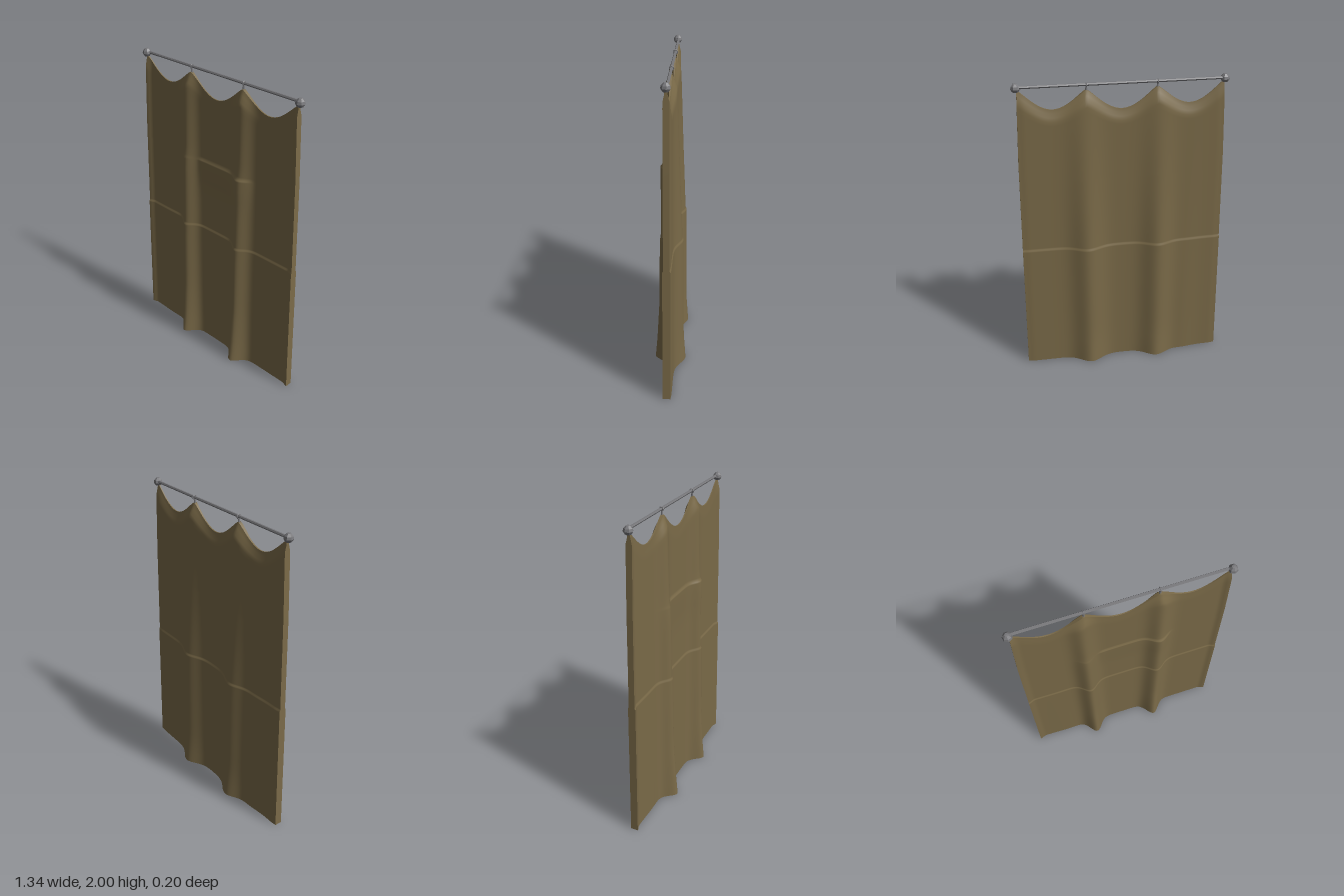
import * as THREE from 'three';
import { mergeGeometries } from 'three/addons/utils/BufferGeometryUtils.js';

const { lerp, clamp, smoothstep } = THREE.MathUtils;

// piecewise linear lookup through [position, value] pairs
function lookup(points, t) {
  for (let i = 1; i < points.length; i++) {
    const [a, va] = points[i - 1], [b, vb] = points[i];
    if (t <= b) return lerp(va, vb, clamp((t - a) / (b - a), 0, 1));
  }
  return points[points.length - 1][1];
}
const bell = (x, centre, width) => Math.exp(-(((x - centre) / width) ** 2));

const HALF_WIDTH = [[0, 0.67], [0.9, 0.65], [1.5, 0.635], [1.96, 0.615]];
const FRONT_SWELL = [[0, 0.093], [0.15, 0.08], [0.4, 0.066], [0.9, 0.058], [1.36, 0.052], [1.42, 0.043], [1.9, 0.032]];
const BACK_SWELL = [[0, 0.072], [0.2, 0.058], [0.9, 0.052], [1.4, 0.033], [1.9, 0.016]];
const FOLD = 0.9, LEDGE = 1.39, STRAIGHT = 1.5;

// scalloped upper edge hanging from four points
function topEdge(u) {
  const x = u * 0.615, ax = Math.abs(x);
  if (ax < 0.212) return 1.945 - 0.125 * Math.cos((ax / 0.212) * Math.PI / 2) ** 1.15;
  const t = (ax - 0.212) / 0.403;
  return 1.945 + 0.015 * t - 0.118 * Math.sin(Math.PI * t) ** 1.15;
}

// rows are exact heights up to STRAIGHT, then spread to the scalloped edge
const ROWS = [];
for (let y = 0; y < 0.88; y += 0.08) ROWS.push(y);
ROWS.push(FOLD - 0.012, FOLD - 0.003, FOLD + 0.003, FOLD + 0.012);
for (let y = 0.96; y < 1.36; y += 0.07) ROWS.push(y);
ROWS.push(LEDGE - 0.012, LEDGE - 0.002, LEDGE + 0.004, LEDGE + 0.02, 1.46, STRAIGHT);
for (let i = 1; i <= 14; i++) ROWS.push(STRAIGHT + i / 14);

const COLS = 110;

// point on the front (side = 1) or back (side = -1) sheet
function clothPoint(u, row, side) {
  const top = topEdge(u);
  const y = row <= STRAIGHT ? row : lerp(STRAIGHT, top, row - STRAIGHT);
  const x = u * lookup(HALF_WIDTH, y);
  const end = smoothstep(Math.abs(u), 0.93, 1);
  const below = 1 - smoothstep(y, FOLD - 0.003, FOLD + 0.003);
  let z;
  if (side > 0) {
    const swell = lookup(FRONT_SWELL, y);
    z = 0.004 + swell * (bell(x, -0.235, 0.06) + bell(x, 0.225, 0.062));
    const across = smoothstep(x, -0.17, -0.12) * (1 - smoothstep(x, 0.27, 0.32));
    const under = smoothstep(y, 1.15, LEDGE) * (1 - smoothstep(y, LEDGE - 0.002, LEDGE + 0.004));
    z += 0.007 * across * under + 0.005 * below + 0.014 * end;
    z += 0.004 * bell(x, -0.45, 0.1) * (1 - y / 2);
  } else {
    const swell = lookup(BACK_SWELL, y);
    z = -0.024 - swell * (bell(x, -0.23, 0.095) + bell(x, 0.23, 0.095));
    z -= 0.005 * below + 0.014 * bell(x, -0.42, 0.09) * (1 - y / 2.2);
    z += 0.004 * end;
  }
  const pinch = 1 - 0.75 * smoothstep(y, top - 0.075, top);
  return [x, y, z * pinch];
}

// surface patch; normal is (u direction) x (v direction)
function patch(cols, rows, fn) {
  const pos = [], index = [];
  for (let j = 0; j <= rows; j++) for (let i = 0; i <= cols; i++) pos.push(...fn(i, j));
  const w = cols + 1;
  for (let j = 0; j < rows; j++) for (let i = 0; i < cols; i++) {
    const a = j * w + i, b = a + 1, c = a + w, d = c + 1;
    index.push(a, b, d, a, d, c);
  }
  const g = new THREE.BufferGeometry();
  g.setAttribute('position', new THREE.Float32BufferAttribute(pos, 3));
  g.setIndex(index);
  g.computeVertexNormals();
  return g;
}

export function createModel() {
  const group = new THREE.Group();
  const cloth = new THREE.MeshStandardMaterial({ color: 0x7a6a48, side: THREE.DoubleSide });
  cloth.name = 'khaki cloth';
  const metal = new THREE.MeshStandardMaterial({ color: 0x77777a, flatShading: true });
  metal.name = 'grey metal';
  const add = (name, geometry, material, x = 0, y = 0, z = 0) => {
    const mesh = new THREE.Mesh(geometry, material);
    mesh.name = name;
    mesh.position.set(x, y, z);
    group.add(mesh);
    return mesh;
  };

  // curtain: two sheets closed by thin hems
  const n = ROWS.length - 1, last = ROWS[n];
  const uAt = i => (2 * i) / COLS - 1;
  add('curtainFront', patch(COLS, n, (i, j) => clothPoint(uAt(i), ROWS[j], 1)), cloth);
  add('curtainBack', patch(COLS, n, (i, j) => clothPoint(-uAt(i), ROWS[j], -1)), cloth);
  add('curtainHems', mergeGeometries([
    patch(1, n, (i, j) => clothPoint(1, ROWS[j], i ? -1 : 1)),
    patch(1, n, (i, j) => clothPoint(-1, ROWS[j], i ? 1 : -1)),
    patch(COLS, 1, (i, j) => clothPoint(uAt(i), 0, j ? 1 : -1)),
    patch(COLS, 1, (i, j) => clothPoint(uAt(i), last, j ? -1 : 1)),
  ]), cloth);

  // hanging rod
  const rod = add('rod', new THREE.CylinderGeometry(0.009, 0.009, 1.24, 6), metal, 0, 1.977, -0.006);
  rod.rotation.z = Math.PI / 2;

  // faceted end knobs
  const knob = new THREE.LatheGeometry(
    [[0, -0.028], [0.018, -0.025], [0.029, -0.008], [0.025, 0.008], [0.012, 0.023], [0, 0.024]]
      .map(p => new THREE.Vector2(...p)), 7);
  for (const s of [-1, 1]) add(s > 0 ? 'leftKnob' : 'rightKnob', knob, metal, s * 0.62, 1.976, 0);

  // small ties holding the cloth to the rod
  for (const s of [-1, 1]) {
    add('tieRing', new THREE.TorusGeometry(0.012, 0.004, 5, 8), metal, s * 0.212, 1.975, -0.006).rotation.y = Math.PI / 2;
    add('tieKnot', new THREE.CylinderGeometry(0.005, 0.008, 0.03, 6), metal, s * 0.212, 1.953, -0.003);
  }
  return group;
}
